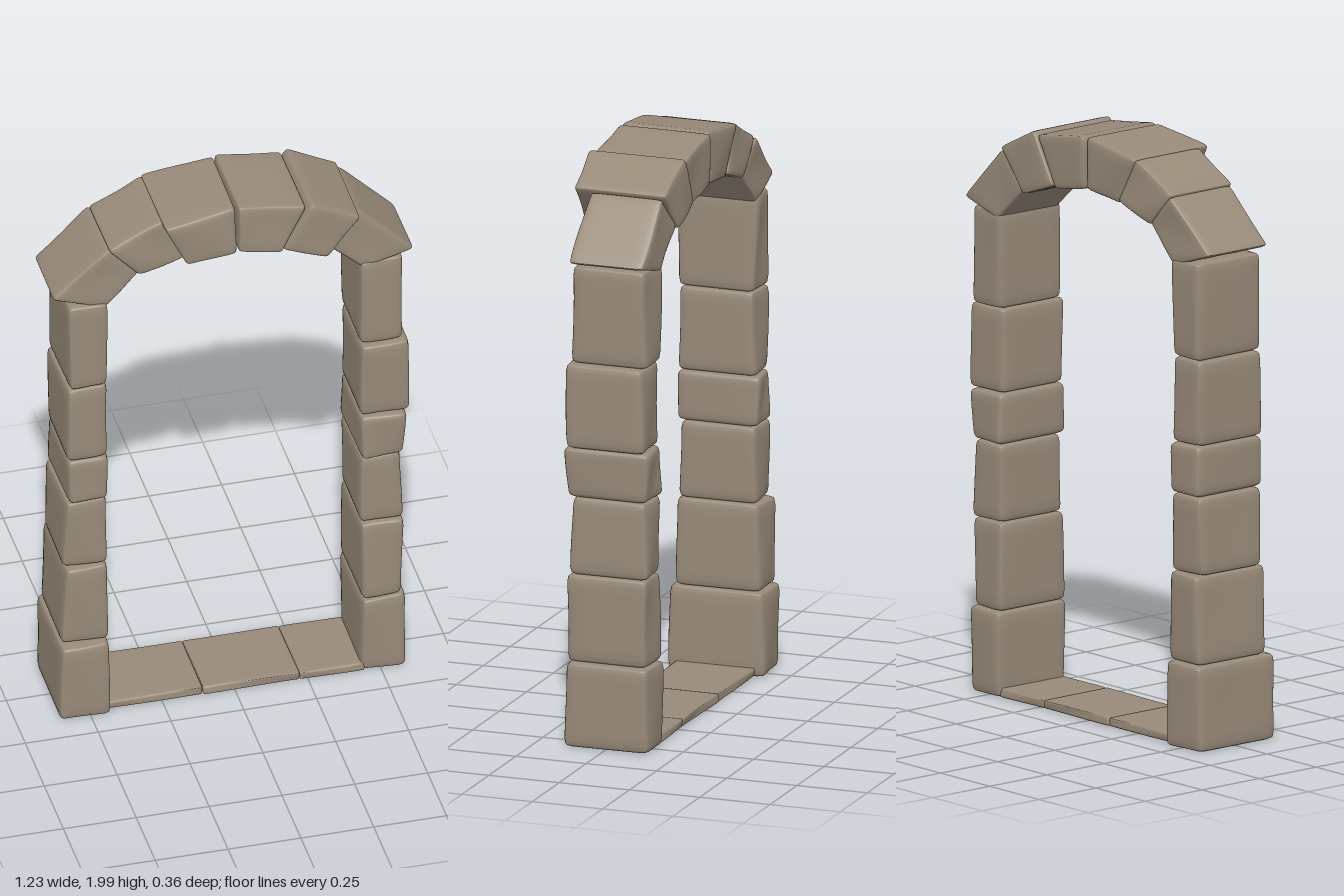
import * as THREE from 'three';
import { mergeVertices } from 'three/addons/utils/BufferGeometryUtils.js';

// small seeded generator for the hand-cut irregularity
let seed = 7;
const rand = () => (seed = (seed * 16807) % 2147483647) / 2147483647;

const stoneMaterial = new THREE.MeshStandardMaterial({ color: 0x988a79 });
stoneMaterial.name = 'warm grey stone';

// Rounded block whose front outline is a quad [bl, br, tr, tl], spanning z0..z1
function stone(name, quad, z0, z1, radius = 0.022, rough = 0.012) {
  const [bl, br, tr, tl] = quad;
  const len = (a, b) => Math.hypot(a[0] - b[0], a[1] - b[1]);
  const size = [
    (len(bl, br) + len(tl, tr)) / 2,
    (len(bl, tl) + len(br, tr)) / 2,
    z1 - z0,
  ];
  let geo = new THREE.BoxGeometry(1, 1, 1, 10, 10, 10);
  geo.deleteAttribute('normal');
  geo.deleteAttribute('uv');
  geo = mergeVertices(geo);

  // each long edge is pulled in a little at the front and back
  const pull = Array.from({ length: 8 }, () => rand() * rough);
  const phase = rand() * 6;
  const pos = geo.attributes.position;
  const p = new THREE.Vector3(), core = new THREE.Vector3();
  const lerp = THREE.MathUtils.lerp;
  for (let i = 0; i < pos.count; i++) {
    // crowd the grid towards the edges, then round them off
    p.fromBufferAttribute(pos, i);
    p.set(...p.toArray().map((v, k) => Math.sin(v * Math.PI) * 0.5 * size[k]));
    core.set(...p.toArray().map((v, k) => {
      const m = Math.max(size[k] / 2 - radius, 0);
      return THREE.MathUtils.clamp(v, -m, m);
    }));
    p.sub(core);
    if (p.length() > radius) p.setLength(radius);
    p.add(core);

    // map the block into its quad
    const u = p.x / size[0] + 0.5, v = p.y / size[1] + 0.5, w = p.z / size[2] + 0.5;
    const x = lerp(lerp(bl[0], br[0], u), lerp(tl[0], tr[0], u), v);
    const y = lerp(lerp(bl[1], br[1], u), lerp(tl[1], tr[1], u), v);
    const back = lerp(lerp(pull[0], pull[1], u), lerp(pull[2], pull[3], u), v);
    const front = lerp(lerp(pull[4], pull[5], u), lerp(pull[6], pull[7], u), v);
    const wave = Math.sin(u * 4 + v * 3 + phase) * rough * 0.3;
    pos.setXYZ(i, x + wave * (w - 0.5), y, lerp(z0 + back, z1 - front, w) + wave * (2 * w - 1));
  }
  geo.computeVertexNormals();
  const mesh = new THREE.Mesh(geo, stoneMaterial);
  mesh.name = name;
  return mesh;
}

const box = (x0, x1, y0, y1) => [[x0, y0], [x1, y0], [x1, y1], [x0, y1]];

export function createModel() {
  seed = 7;
  const model = new THREE.Group();
  model.name = 'stoneArchway';

  // side columns: course heights, outer face x at bottom and top, z range
  const courses = [0.005, 0.297, 0.6, 0.866, 1.04, 1.33, 1.665];
  const columns = {
    left: {
      side: 1,
      outer: [[0.585, 0.59], [0.575, 0.582], [0.582, 0.575], [0.58, 0.59], [0.602, 0.602], [0.583, 0.585]],
      z: [[-0.16, 0.15], [-0.155, 0.145], [-0.155, 0.13], [-0.16, 0.145], [-0.148, 0.14], [-0.155, 0.125]],
    },
    right: {
      side: -1,
      outer: [[0.607, 0.603], [0.595, 0.582], [0.588, 0.578], [0.572, 0.572], [0.575, 0.575], [0.568, 0.57]],
      z: [[-0.178, 0.17], [-0.17, 0.145], [-0.155, 0.13], [-0.16, 0.14], [-0.15, 0.14], [-0.155, 0.135]],
    },
  };
  for (const [label, { side, outer, z }] of Object.entries(columns)) {
    const group = new THREE.Group();
    group.name = label + 'Column';
    outer.forEach(([low, high], i) => {
      const y0 = courses[i], y1 = courses[i + 1], inner = 0.433;
      const quad = side > 0
        ? [[inner, y0], [low, y0], [high, y1], [inner, y1]]
        : [[-low, y0], [-inner, y0], [-inner, y1], [-high, y1]];
      group.add(stone(label + 'Block' + (i + 1), quad, ...z[i]));
    });
    model.add(group);
  }

  // arch of six wedge stones
  const arch = new THREE.Group();
  arch.name = 'arch';
  const wedges = [
    [[[-0.44, 1.64], [-0.32, 1.765], [-0.43, 1.875], [-0.625, 1.7]], -0.155, 0.125],
    [[[-0.325, 1.755], [-0.165, 1.81], [-0.25, 1.97], [-0.435, 1.875]], -0.157, 0.137],
    [[[-0.17, 1.8], [-0.003, 1.82], [-0.003, 2.002], [-0.255, 1.967]], -0.157, 0.178],
    [[[0.003, 1.82], [0.155, 1.793], [0.24, 1.967], [0.003, 2.002]], -0.162, 0.178],
    [[[0.155, 1.803], [0.31, 1.748], [0.428, 1.89], [0.25, 1.98]], -0.173, 0.182],
    [[[0.31, 1.76], [0.445, 1.64], [0.625, 1.685], [0.425, 1.885]], -0.158, 0.12],
  ];
  wedges.forEach(([quad, z0, z1], i) =>
    arch.add(stone('archStone' + (i + 1), quad, z0, z1, 0.016)));
  model.add(arch);

  // thin threshold slabs
  const threshold = new THREE.Group();
  threshold.name = 'threshold';
  [[-0.445, -0.11], [-0.11, 0.222], [0.222, 0.445]].forEach(([x0, x1], i) =>
    threshold.add(stone('slab' + (i + 1), box(x0, x1, 0.006, 0.037), -0.145, 0.14, 0.008, 0.006)));
  model.add(threshold);

  return model;
}
